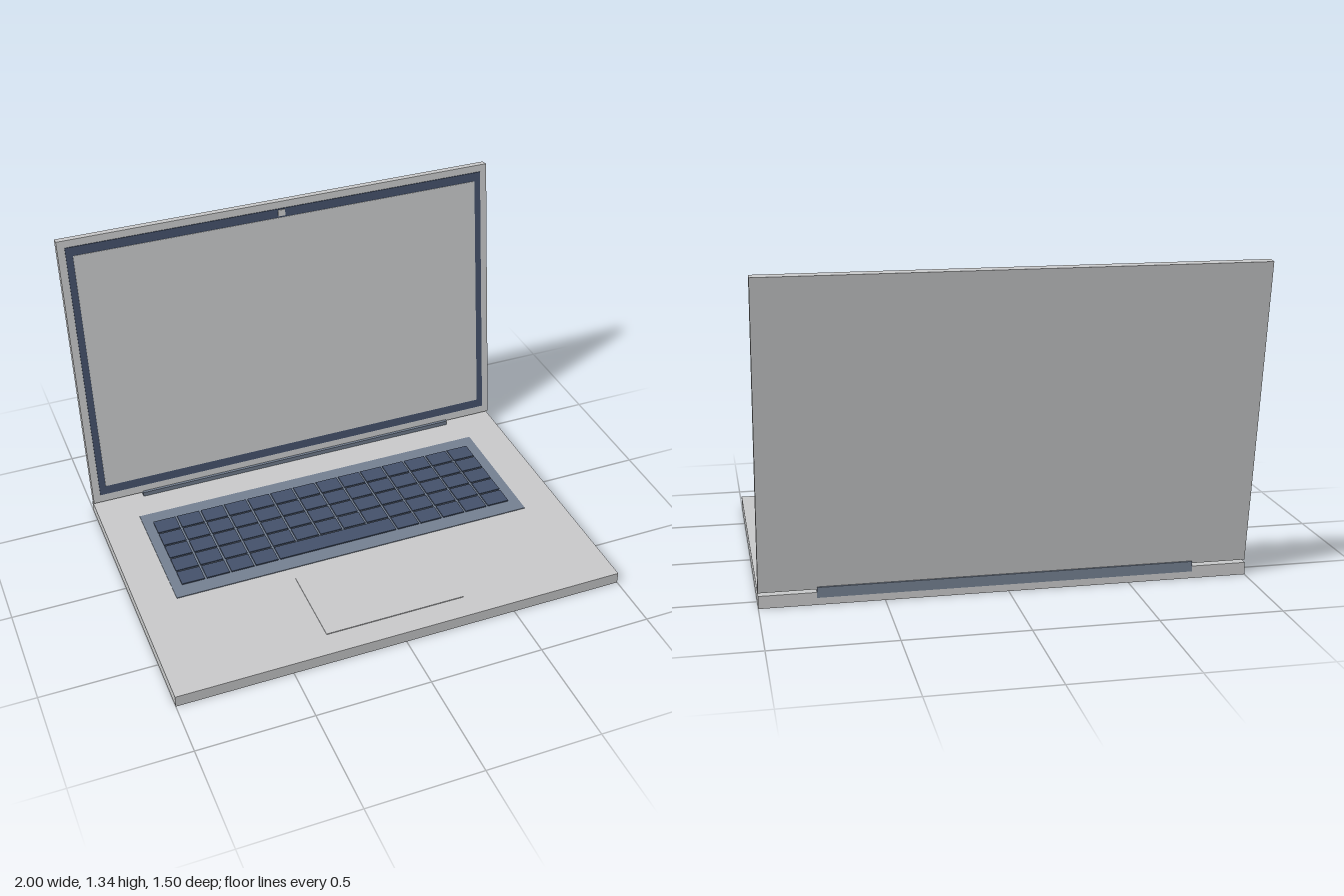
import * as THREE from 'three';

const material = (name, color) => {
  const m = new THREE.MeshStandardMaterial({ color });
  m.name = name;
  return m;
};

export function createModel() {
  const silver = material('silver', 0xc8c9ca);
  const navy = material('navy', 0x44516a);
  const slate = material('slate', 0x748091);

  // Box given by its min and max along each axis
  const box = (parent, name, mat, [x0, x1], [y0, y1], [z0, z1]) => {
    const mesh = new THREE.Mesh(new THREE.BoxGeometry(x1 - x0, y1 - y0, z1 - z0), mat);
    mesh.position.set((x0 + x1) / 2, (y0 + y1) / 2, (z0 + z1) / 2);
    mesh.name = name;
    parent.add(mesh);
  };

  const laptop = new THREE.Group();
  laptop.name = 'laptop';

  // Lower half
  box(laptop, 'base', silver, [-1, 1], [0, 0.052], [-0.58, 0.75]);
  box(laptop, 'trackpad', silver, [-0.315, 0.31], [0.05, 0.056], [0.265, 0.64]);
  box(laptop, 'hinge', slate, [-0.77, 0.77], [0.03, 0.073], [-0.583, -0.526]);

  // Keyboard: five rows of fourteen, with a five-unit space bar in the last row
  const keyboard = new THREE.Group();
  keyboard.name = 'keyboard';
  laptop.add(keyboard);
  box(keyboard, 'keyboardTray', slate, [-0.828, 0.828], [0.048, 0.0555], [-0.388, 0.2]);
  const pitchX = 0.1122, pitchZ = 0.0918, gap = 0.009;
  for (let row = 0; row < 5; row++) {
    const z = -0.321 + row * pitchZ;
    for (let col = 0; col < 14;) {
      const span = row === 4 && col === 4 ? 5 : 1;
      const x = -0.783 + col * pitchX;
      box(keyboard, span > 1 ? 'spaceBar' : 'key', navy,
        [x, x + span * pitchX - gap], [0.054, 0.061], [z, z + pitchZ - gap]);
      col += span;
    }
  }

  // Lid, leaning back about its lower edge
  const lid = new THREE.Group();
  lid.name = 'lid';
  lid.position.set(0, 0.065, -0.556);
  lid.rotation.x = -0.139;
  laptop.add(lid);
  box(lid, 'lidShell', silver, [-1, 1], [0, 1.282], [-0.018, 0.018]);
  box(lid, 'bezel', navy, [-0.967, 0.967], [0.038, 1.25], [0.016, 0.022]);
  box(lid, 'screen', silver, [-0.937, 0.937], [0.08, 1.21], [0.018, 0.0245]);
  box(lid, 'camera', silver, [-0.016, 0.016], [1.217, 1.245], [0.018, 0.026]);

  return laptop;
}
